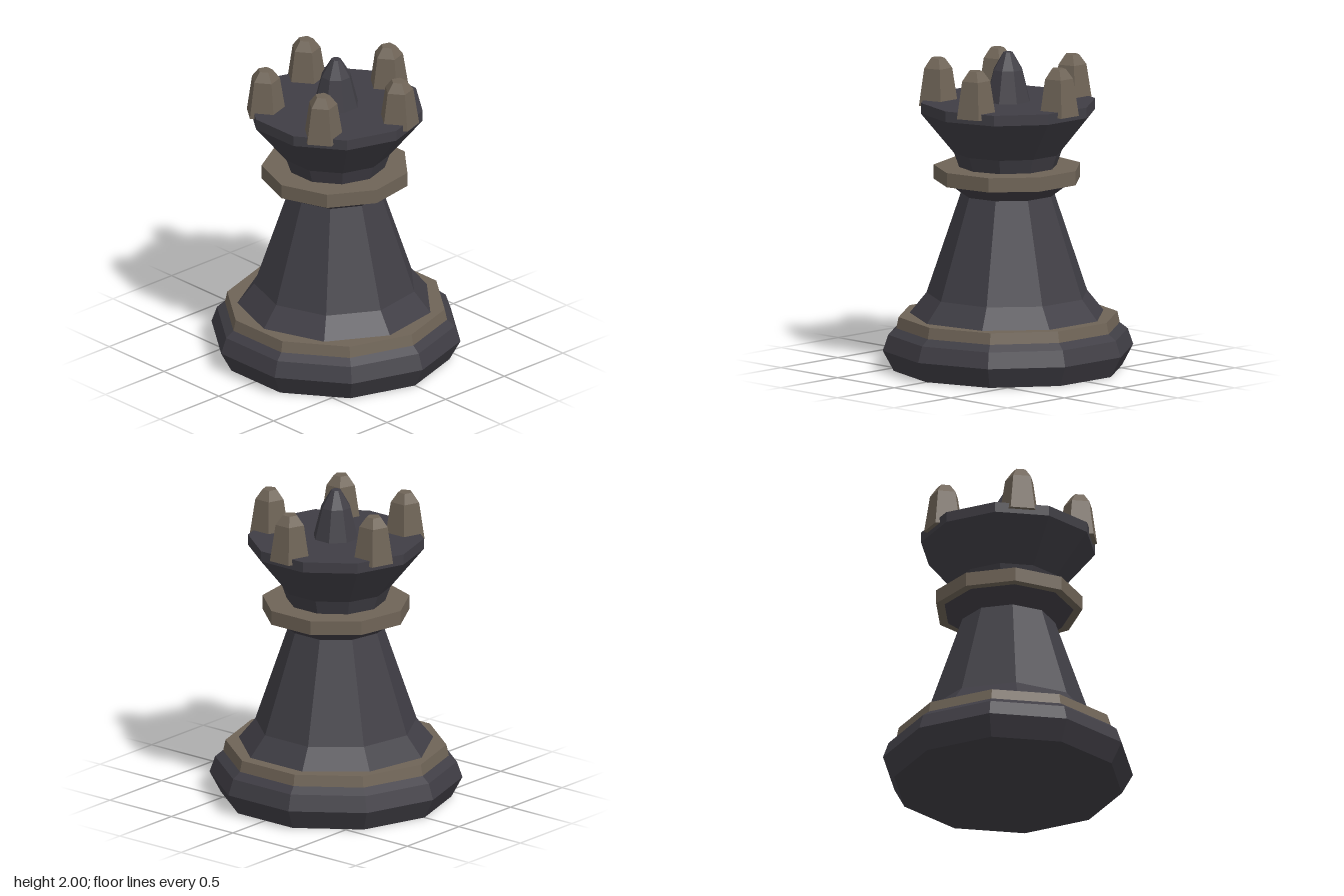
import * as THREE from 'three';

const dark = new THREE.MeshStandardMaterial({ color: 0x403e45, flatShading: true });
dark.name = 'charcoal';
const brown = new THREE.MeshStandardMaterial({ color: 0x6f6457, flatShading: true });
brown.name = 'taupe';

// Closed faceted solid turned from [radius, height] pairs, listed bottom to top
function turned(name, material, sides, rings, turn = 0) {
  const profile = [[0, rings[0][1]], ...rings, [0, rings[rings.length - 1][1]]]
    .map(([r, y]) => new THREE.Vector2(r, y));
  const geometry = new THREE.LatheGeometry(profile, sides).toNonIndexed();
  geometry.rotateY(turn);
  geometry.computeVertexNormals();
  const mesh = new THREE.Mesh(geometry, material);
  mesh.name = name;
  return mesh;
}

export function createModel() {
  const model = new THREE.Group();
  model.name = 'rookPiece';
  const toMinusX = -Math.PI / 2; // puts a corner on -x

  // Ten-sided foot and its band
  model.add(turned('foot', dark, 10, [[0.72, 0], [0.79, 0.13], [0.755, 0.23], [0.705, 0.27]]));
  model.add(turned('footBand', brown, 10, [[0.705, 0.27], [0.69, 0.34]]));

  // Nine-sided tapering shaft, flaring under the collar
  model.add(turned('shaft', dark, 9,
    [[0.615, 0.34], [0.51, 0.47], [0.295, 1.105], [0.41, 1.19]], toMinusX));
  model.add(turned('collar', brown, 9, [[0.465, 1.19], [0.465, 1.28]], toMinusX));

  // Ten-sided flared crown
  model.add(turned('crown', dark, 10,
    [[0.308, 1.28], [0.34, 1.37], [0.55, 1.625], [0.55, 1.692]]));

  // Eight-sided central spire
  model.add(turned('spire', dark, 8,
    [[0.146, 1.69], [0.095, 1.89], [0.03, 2.0]], Math.PI / 8));

  // Five five-sided battlements, all turned the same way
  const battlements = new THREE.Group();
  battlements.name = 'battlements';
  for (let i = 0; i < 5; i++) {
    const a = (i / 5) * Math.PI * 2;
    const post = turned('battlement', brown, 5,
      [[0.13, 1.655], [0.093, 1.89], [0.047, 1.95]], toMinusX);
    post.position.set(0.445 * Math.cos(a), 0, 0.445 * Math.sin(a));
    battlements.add(post);
  }
  model.add(battlements);

  return model;
}
